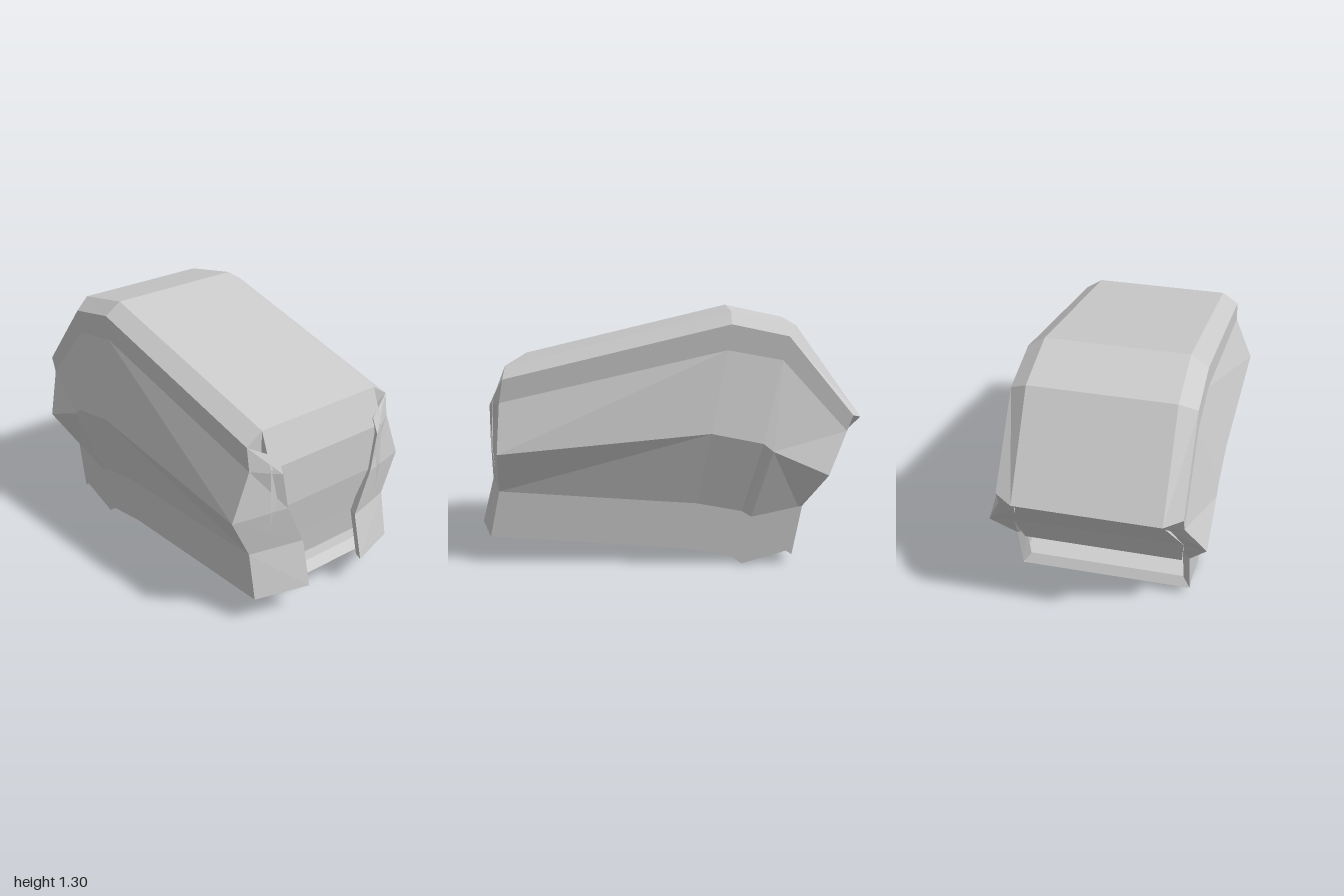
import * as THREE from 'three';

const material = new THREE.MeshStandardMaterial({ color: 0xcccccc, flatShading: true, side: THREE.DoubleSide });

// Skin a list of cross-section rows (equal point counts) with flat quads.
function skin(name, rows, flip = false) {
  const pos = [];
  for (let i = 0; i < rows.length - 1; i++) {
    for (let j = 0; j < rows[i].length - 1; j++) {
      const a = rows[i][j], b = rows[i + 1][j], c = rows[i + 1][j + 1], d = rows[i][j + 1];
      const tris = flip ? [a, c, b, a, d, c] : [a, b, c, a, c, d];
      tris.forEach(p => pos.push(...p));
    }
  }
  const g = new THREE.BufferGeometry();
  g.setAttribute('position', new THREE.Float32BufferAttribute(pos, 3));
  g.computeVertexNormals();
  const mesh = new THREE.Mesh(g, material);
  mesh.name = name;
  return mesh;
}

const atZ = (points, z) => points.map(([x, y]) => [x, y, z]);
const flipZ = rows => rows.map(r => r.map(([x, y, z]) => [x, y, -z]));
// Profile of [x, y, halfWidth] swept straight across the width.
const across = (points, s) => points.map(([x, y, w]) => [[x, y, s * w], [x, y, -s * w]]);

export function createModel() {
  const group = new THREE.Group();
  const pair = (name, rows) => group.add(
    skin(name + 'Left', rows), skin(name + 'Right', flipZ(rows), true));

  // Lengthwise lines of the shell, rear to front
  const roofEdge = [[-1, .76], [-.66, 1.23], [-.66, 1.23], [-.66, 1.23], [-.33, 1.3], [.83, 1.02]];
  const shoulder = [[-.95, .78], [-.62, 1.18], [-.62, 1.18], [-.62, 1.18], [-.33, 1.24], [.83, .96]];
  const upperFold = [[-.92, .70], [-.59, 1.06], [-.59, 1.06], [-.59, 1.06], [-.31, 1.11], [.85, .84]];
  const bulge = [[-.82, .49], [-.54, .61], [-.54, .61], [-.49, .65], [-.23, .7], [.85, .59]];
  const lowerFold = [[-.7, .31], [-.68, .305], [-.44, .25], [-.39, .28], [-.16, .32], [.86, .38]];
  const bottom = [[-.65, .05], [-.62, .07], [-.39, 0], [-.34, .04], [-.1, .08], [.91, .14]];

  // Roof, chamfers and side walls
  group.add(skin('roof', [atZ(roofEdge, -.37), atZ(roofEdge, .37)]));
  pair('roofChamfer', [atZ(roofEdge, .37), atZ(shoulder, .46)]);
  pair('sideWall', [atZ(shoulder, .46), atZ(upperFold, .46), atZ(bulge, .56),
    atZ(lowerFold, .46), atZ(bottom, .46)]);

  // Underside and the inner floor above it
  group.add(skin('underside', [atZ(bottom, .46), atZ(bottom, -.46)]));
  const floor = [[-.65, .05], [-.62, .1], [.86, .175], [.91, .14]];
  group.add(skin('innerFloor', [atZ(floor, -.45), atZ(floor, .45)]));

  // Front panel, ending in a lip above the slot
  group.add(skin('frontPanel', across([[.83, 1.02, .37], [.9, .84, .37], [.91, .61, .37],
    [.885, .4, .37], [.87, .245, .37], [.81, .21, .37]], 1)));

  // Front jambs wrap inward around the panel
  const outer = [[.83, .96, .46], [.85, .84, .46], [.85, .59, .56], [.86, .38, .46], [.91, .14, .46]];
  const inner = [[.89, .885, .315], [.925, .81, .315], [.93, .61, .28], [.94, .39, .18], [1, .15, .18]];
  const back = inner.map(([x, y, z]) => [x - .045, y, z + .015]);
  pair('frontJamb', outer.map((p, i) => [p, inner[i], back[i]]));
  pair('jambFoot', [[outer[4], inner[4]], [[.91, .14, .44], back[4]]]);
  pair('jambTop', [[[.83, .9, .37], back[0]], [outer[0], inner[0]]]);
  pair('frontNotch', [[[.83, .96, .46], [.83, 1.02, .37]], [[.83, .9, .37], [.83, .9, .37]]]);

  // Rear panel tucked under the roof lip
  group.add(skin('rearPanel', across([[-1, .76, .37], [-.94, .7, .37], [-.8, .49, .44],
    [-.7, .29, .42], [-.64, .26, .42]], -1)));

  // Rear jambs close the gap between the side walls and the panel
  const rearEdge = [[-1, .76, .37], [-.95, .78, .46], [-.92, .7, .46], [-.82, .49, .56], [-.7, .31, .46], [-.65, .05, .46]];
  const rearInner = [[-.94, .7, .37], [-.94, .7, .37], [-.9, .66, .39], [-.79, .48, .44], [-.67, .31, .42], [-.62, .09, .42]];
  pair('rearJamb', rearEdge.map((p, i) => [rearInner[i], p]));

  return group;
}
